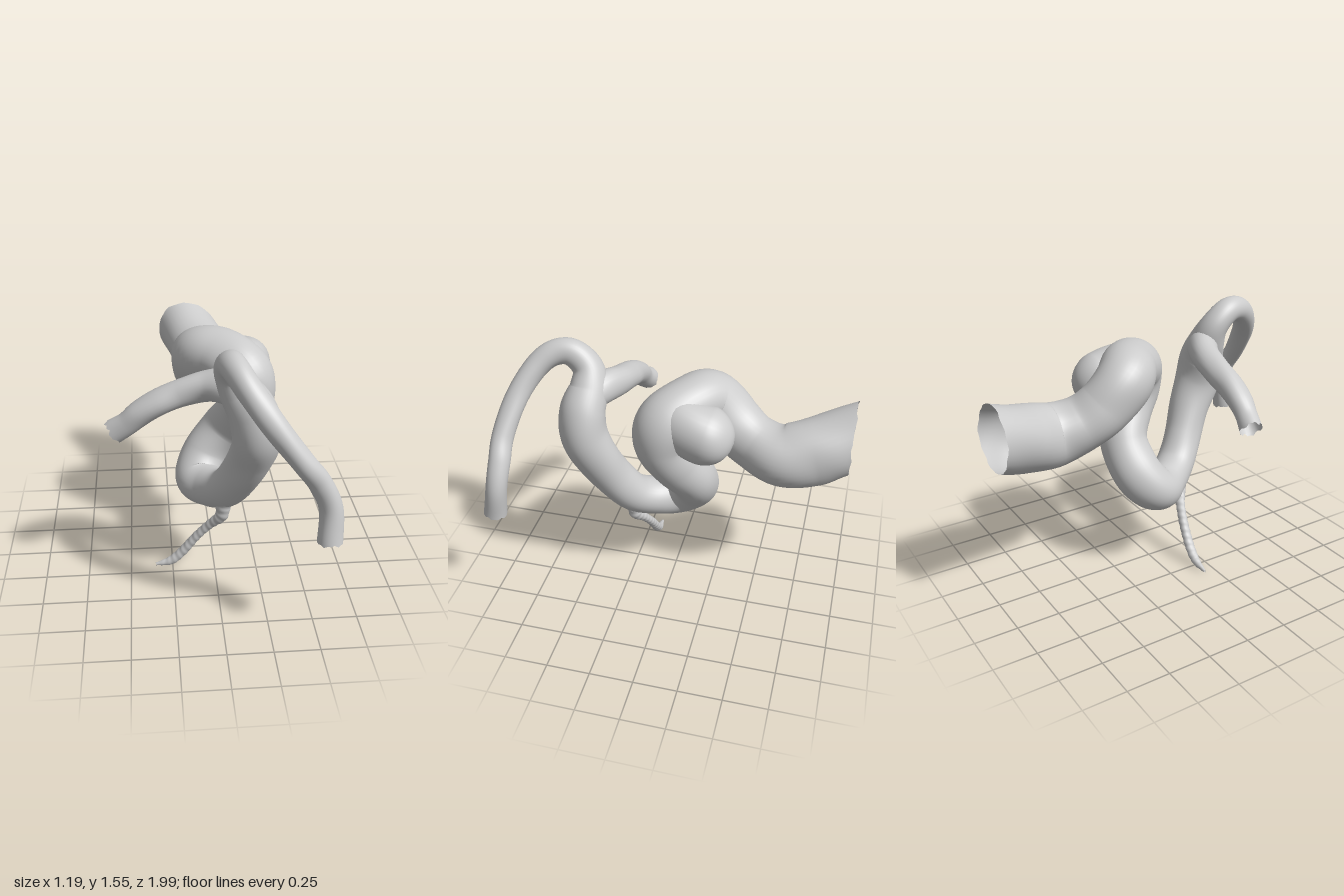
import * as THREE from 'three';

const material = new THREE.MeshStandardMaterial({ color: 0xcccccc, side: THREE.DoubleSide });

// Sweeps a soft, slightly lumpy tube through stations [x, y, z, radius].
function vessel(name, stations, { segments = 80, sides = 24, round = false, ragged = 0, lumps = 0.03, ripple = 0, trimZ = null } = {}) {
  const path = new THREE.CatmullRomCurve3(stations.map(([x, y, z]) => new THREE.Vector3(x, y, z)), false, 'catmullrom', 0.5);
  const radii = new THREE.CatmullRomCurve3(stations.map(s => new THREE.Vector3(s[3], 0, 0)), false, 'catmullrom', 0.5);
  path.arcLengthDivisions = 1000;
  const { tangents, normals, binormals } = path.computeFrenetFrames(segments, false);
  const length = path.getLength();
  const positions = [], index = [];
  for (let i = 0; i <= segments; i++) {
    const u = i / segments, s = u * length, left = length - s;
    const centre = path.getPointAt(u);
    let r = radii.getPoint(path.getUtoTmapping(u)).x;
    // rounded blind end
    if (round && left < r) r *= Math.sqrt(Math.max(0, 1 - (1 - left / r) ** 2));
    for (let j = 0; j < sides; j++) {
      const a = j / sides * Math.PI * 2;
      const bump = 1 + lumps * (Math.sin(2 * a + 9 * s) * 0.6 + Math.sin(3 * a - 17 * s) * 0.5)
        + ripple * Math.sin(150 * s + a);
      const p = centre.clone()
        .addScaledVector(normals[i], Math.cos(a) * r * bump)
        .addScaledVector(binormals[i], Math.sin(a) * r * bump);
      // slide the last rings along the tube so that the rim lies in the plane z = trimZ
      if (trimZ !== null && left < 0.25) {
        const rim = tangents[segments];
        const rimOffset = p.clone().sub(centre).z + path.getPointAt(1).z;
        p.addScaledVector(rim, (trimZ - rimOffset) / rim.z * (1 - left / 0.25));
      }
      // torn rim at the open ends
      if (i === 0 || i === segments) {
        p.addScaledVector(tangents[i], ragged * (Math.sin(5 * a) + Math.sin(11 * a + 1)) * 0.5);
      }
      positions.push(p.x, p.y, p.z);
    }
  }
  for (let i = 0; i < segments; i++) {
    for (let j = 0; j < sides; j++) {
      const k = (j + 1) % sides;
      const a = i * sides + j, b = i * sides + k, c = a + sides, d = b + sides;
      index.push(a, b, c, b, d, c);
    }
  }
  const geometry = new THREE.BufferGeometry();
  geometry.setAttribute('position', new THREE.Float32BufferAttribute(positions, 3));
  geometry.setIndex(index);
  geometry.computeVertexNormals();
  const mesh = new THREE.Mesh(geometry, material);
  mesh.name = name;
  return mesh;
}

export function createModel() {
  const model = new THREE.Group();
  model.name = 'branchingVessel';

  // Long thin branch at the front, from its open tip up to the fork
  const frontBranch = [
    [0.52, 0.64, 0.93, 0.066], [0.52, 0.82, 0.9, 0.06], [0.46, 0.96, 0.89, 0.06],
    [0.37, 1.08, 0.89, 0.06], [0.23, 1.26, 0.84, 0.064], [0.13, 1.39, 0.76, 0.067],
    [0.075, 1.46, 0.67, 0.07], [0.05, 1.465, 0.575, 0.075], [0.055, 1.39, 0.49, 0.085],
  ];
  // Front limb, U-bend and arch
  const loop = [
    [0.1, 1.29, 0.47, 0.108], [0.17, 1.17, 0.49, 0.13], [0.2, 1.02, 0.48, 0.135],
    [0.18, 0.86, 0.41, 0.123], [0.13, 0.7, 0.33, 0.115], [0.06, 0.56, 0.23, 0.115],
    [-0.02, 0.505, 0.11, 0.12], [-0.08, 0.51, 0.0, 0.135], [-0.03, 0.62, -0.1, 0.14],
    [0.09, 0.77, -0.115, 0.14], [0.17, 0.91, -0.04, 0.14], [0.21, 1.05, 0.03, 0.15],
    [0.18, 1.18, 0.01, 0.165], [0.05, 1.24, -0.1, 0.16],
  ];
  // Wide inlet running to the back
  const inlet = [
    [-0.05, 1.21, -0.19, 0.165], [-0.045, 1.08, -0.33, 0.16], [-0.01, 1.0, -0.45, 0.16],
    [0.03, 0.96, -0.61, 0.178], [-0.01, 0.995, -0.79, 0.187], [-0.075, 1.065, -0.985, 0.185],
  ];
  model.add(vessel('mainVessel', [...frontBranch, ...loop, ...inlet],
    { segments: 340, sides: 36, ragged: 0.008, trimZ: -0.985 }));

  // Rounded swelling beside the arch
  model.add(vessel('sideSwelling', [
    [0.12, 1.22, 0.0, 0.13], [0.18, 1.19, -0.07, 0.15], [0.2, 1.145, -0.2, 0.163], [0.195, 1.11, -0.365, 0.155],
  ], { segments: 90, sides: 32, round: true }));

  // Branch reaching out sideways
  model.add(vessel('sideBranch', [
    [0.14, 1.24, 0.47, 0.09], [0.05, 1.27, 0.405, 0.092], [-0.06, 1.255, 0.35, 0.082],
    [-0.19, 1.215, 0.335, 0.076], [-0.31, 1.165, 0.34, 0.074], [-0.41, 1.105, 0.338, 0.07],
    [-0.48, 1.045, 0.332, 0.063], [-0.55, 0.992, 0.315, 0.066],
  ], { segments: 80, ragged: 0.015, lumps: 0.05 }));

  // Thin twig hanging from the bottom of the bend
  model.add(vessel('lowerTwig', [
    [0.05, 0.54, 0.24, 0.09], [0.045, 0.45, 0.255, 0.046], [0.035, 0.38, 0.25, 0.036],
    [-0.03, 0.3, 0.215, 0.027], [-0.11, 0.2, 0.19, 0.027], [-0.19, 0.095, 0.18, 0.028],
    [-0.26, 0.032, 0.18, 0.025], [-0.35, 0.008, 0.18, 0.008],
  ], { segments: 100, sides: 14, ragged: 0.005, ripple: 0.04, lumps: 0.06 }));

  return model;
}
